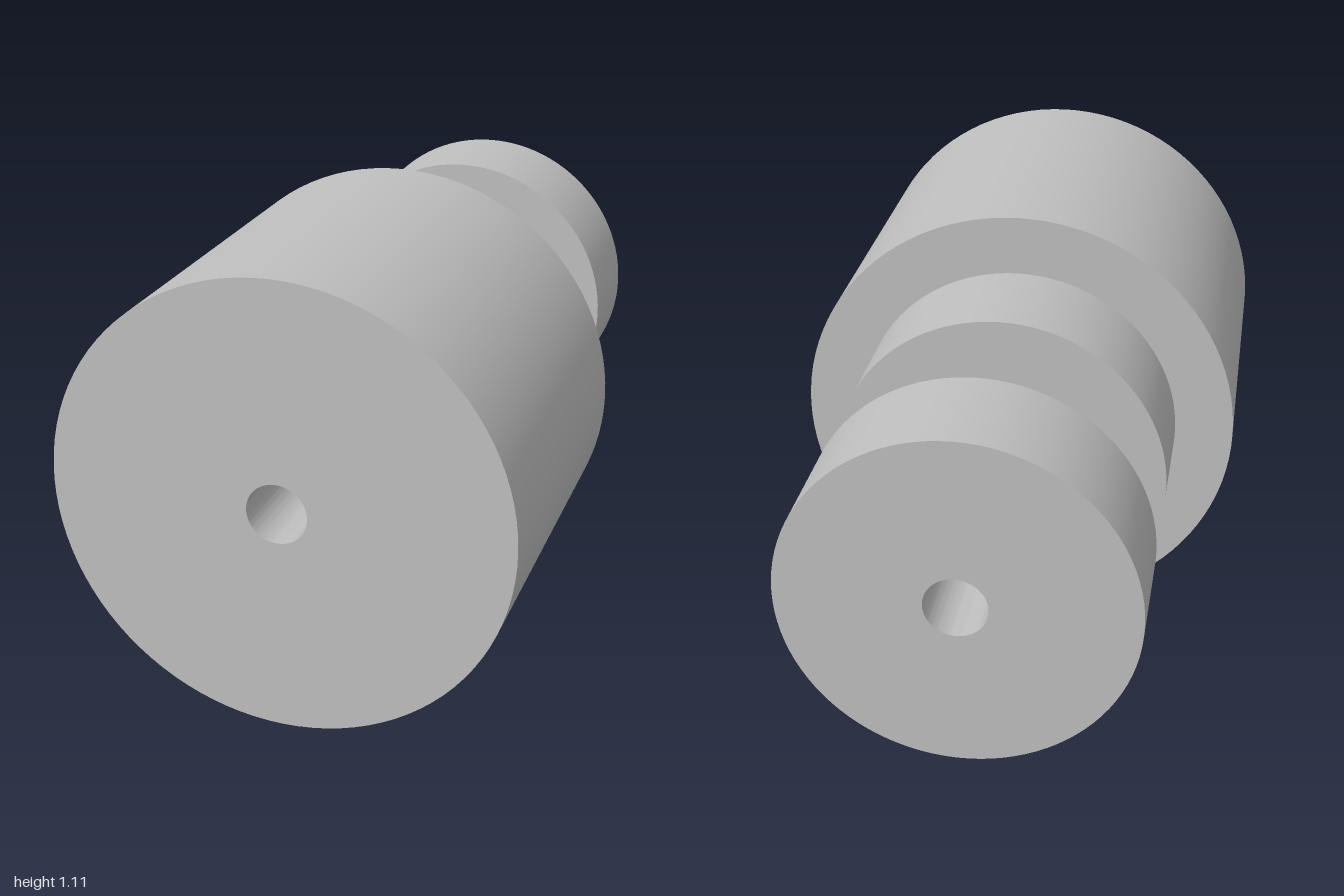
import * as THREE from 'three';
import { toCreasedNormals } from 'three/addons/utils/BufferGeometryUtils.js';

export function createModel() {
  const model = new THREE.Group();
  const metal = new THREE.MeshStandardMaterial({ color: 0xbfbfbf });
  metal.name = 'grey metal';

  const UNIT = 0.2917; // length of one step along the axis
  const BORE = 0.073, SHAFT = 0.146, FLANGE = 0.408, BODY = 0.555;

  // The turned part lies on its side, swung 30 degrees; local +y runs from back to front
  const spool = new THREE.Group();
  spool.name = 'turnedSpool';
  spool.rotation.set(Math.PI / 2, 0, 0);
  const swing = new THREE.Group();
  swing.name = 'swungAxis';
  swing.rotation.y = Math.PI / 6;
  swing.position.set(-0.502, BODY, -0.796);
  swing.add(spool);
  model.add(swing);

  // Each profile is [radius, steps from the back end]
  const turn = (name, profile) => {
    const points = profile.map(([r, s]) => new THREE.Vector2(r, s * UNIT));
    const geometry = toCreasedNormals(new THREE.LatheGeometry(points, 96), 0.6);
    const mesh = new THREE.Mesh(geometry, metal);
    mesh.name = name;
    spool.add(mesh);
  };

  turn('endFlange', [[BORE, 0], [FLANGE, 0], [FLANGE, 1], [SHAFT, 1]]);
  turn('shaft', [[SHAFT, 1], [SHAFT, 2]]);
  turn('collar', [[SHAFT, 2], [FLANGE, 2], [FLANGE, 3]]);
  turn('mainBody', [[FLANGE, 3], [BODY, 3], [BODY, 6], [BORE, 6]]);
  // Through hole, facing inward
  turn('bore', [[BORE, 6], [BORE, 0]]);

  return model;
}
